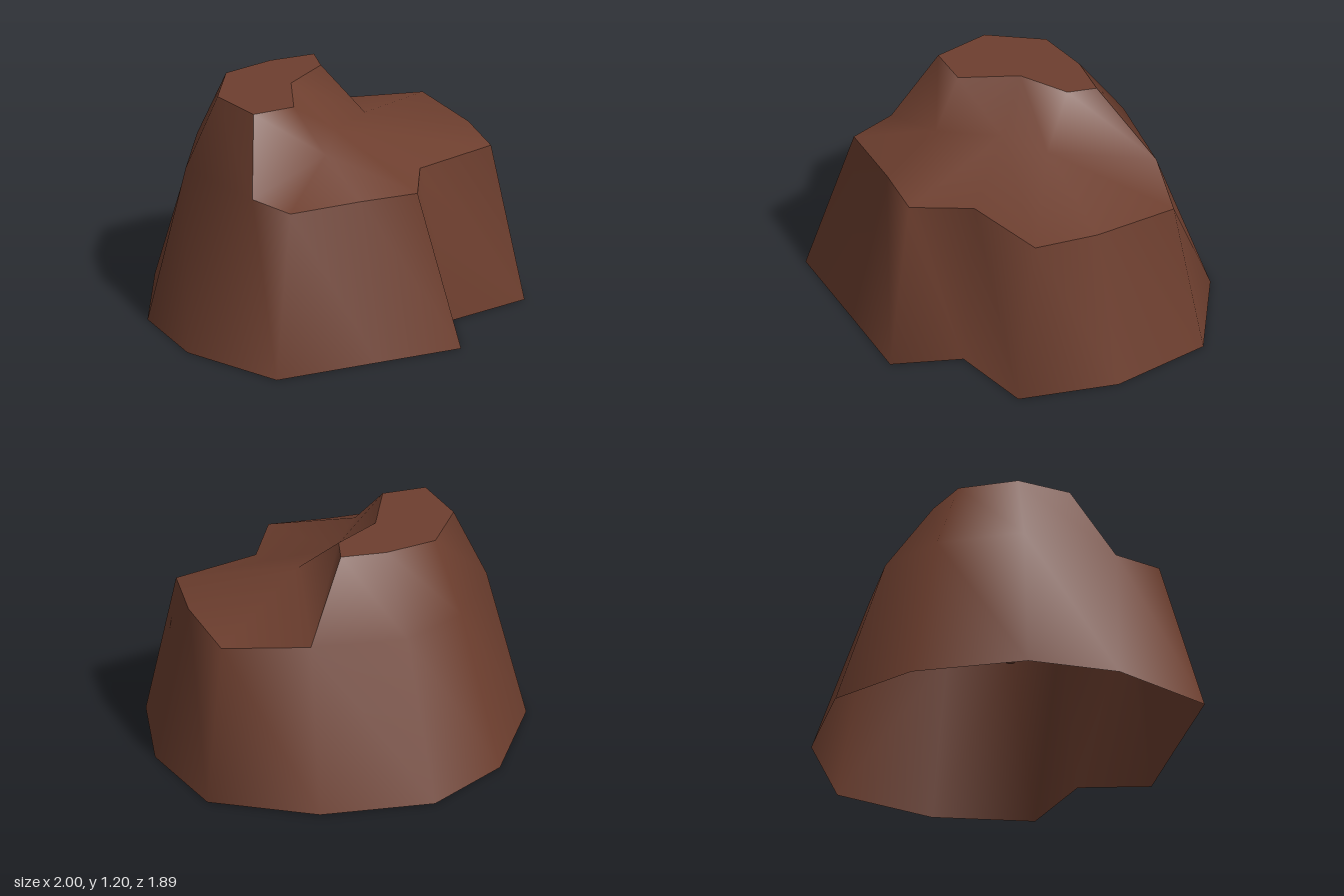
import * as THREE from 'three';

export function createModel() {
  const group = new THREE.Group();
  group.name = 'rock';
  const brown = new THREE.MeshStandardMaterial({ color: 0x6e3f2f, side: THREE.DoubleSide });
  brown.name = 'rockBrown';

  // Cross-sections as [x, z], clockwise from above
  const level = (y, pts) => pts.map(([x, z]) => new THREE.Vector3(x, y, z));
  const base = level(0, [[0.4, -0.87], [0.905, -0.55], [1, 0], [0.87, 0.52], [0.41, 0.59], [0.27, 0.945],
    [-0.2, 0.91], [-0.77, 0.87], [-1, 0.325], [-0.97, -0.165], [-0.645, -0.69], [-0.2, -0.95]]);
  const shoulder = level(0.825, [[0.35, -0.58], [0.79, -0.44], [0.81, 0.02], [0.76, 0.36], [0.29, 0.46], [0.12, 0.75],
    [-0.19, 0.71], [-0.59, 0.685], [-0.67, 0.42], [-0.77, -0.12], [-0.5, -0.5], [-0.15, -0.66]]);
  const crown = level(1.2, [[0.11, -0.36], [0.07, -0.21], [-0.18, -0.07], [-0.32, 0.22],
    [-0.55, 0.21], [-0.6, -0.09], [-0.41, -0.35], [-0.13, -0.39]]);
  // Foot of the cliff, where it meets the sloping ledge
  const [footRight, footMid, footFront] = level(0.98, [[0.22, -0.01], [-0.02, 0.12], [-0.23, 0.4]]);

  // Smooth surface from triangles; points shared inside one part share normals
  function addPart(name, triangles) {
    const points = [...new Set(triangles.flat())];
    const geometry = new THREE.BufferGeometry().setFromPoints(points);
    geometry.setIndex(triangles.flat().map((p) => points.indexOf(p)));
    geometry.computeVertexNormals();
    const mesh = new THREE.Mesh(geometry, brown);
    mesh.name = name;
    group.add(mesh);
  }

  // Strip of quads between two rows of equal length
  function strip(low, high) {
    const out = [];
    for (let i = 0; i < low.length - 1; i++) {
      out.push([low[i], high[i], high[i + 1]], [low[i], high[i + 1], low[i + 1]]);
    }
    return out;
  }

  // Outer wall: full lower ring plus the back that rises to the crown
  addPart('outerWall', [
    ...strip([...base, base[0]], [...shoulder, shoulder[0]]),
    ...strip([...shoulder.slice(8), shoulder[0]], [...crown.slice(4), crown[0]]),
  ]);

  // Ledge fans out from the cliff foot to the shoulder; cliff rises to the crown
  const s = shoulder;
  const fan = (foot, from, to) => {
    const out = [];
    for (let i = from; i < to; i++) out.push([s[i], foot, s[i + 1]]);
    return out;
  };
  addPart('ledgeAndCliff', [
    ...fan(footRight, 0, 3),
    [s[3], footRight, footMid],
    ...fan(footMid, 3, 5),
    [s[5], footMid, footFront],
    ...fan(footFront, 5, 8),
    ...strip([s[0], footRight, footMid, footFront, s[8]], crown.slice(0, 5)),
  ]);

  // Flat top, fanned from its inner corner
  const top = [];
  for (let i = 3; i < 9; i++) top.push([crown[2], crown[(i + 1) % 8], crown[i % 8]]);
  addPart('flatTop', top);

  return group;
}
